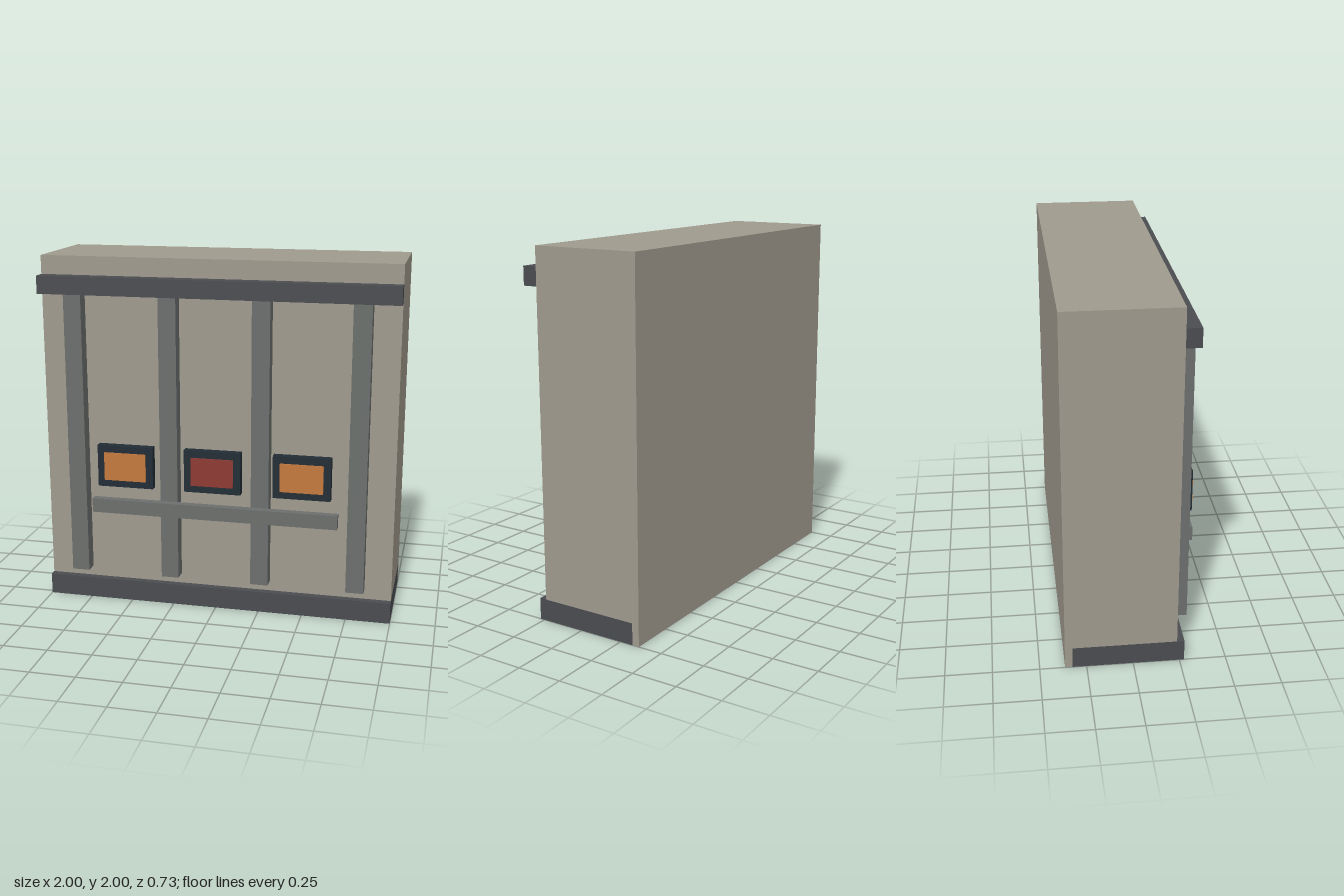
import * as THREE from 'three';

function material(name, color) {
  const m = new THREE.MeshStandardMaterial({ color });
  m.name = name;
  return m;
}

export function createModel() {
  const group = new THREE.Group();
  const stone = material('warm grey wall', 0xa09a8d);
  const dark = material('dark trim', 0x4a4c51);
  const steel = material('grey steel', 0x6b6f6c);
  const casing = material('navy casing', 0x222d36);
  const amber = material('amber screen', 0xc3793e);
  const red = material('red screen', 0x8f3a34);

  // Box given by its extents on each axis
  function box(name, mat, [x0, x1], [y0, y1], [z0, z1]) {
    const mesh = new THREE.Mesh(new THREE.BoxGeometry(x1 - x0, y1 - y0, z1 - z0), mat);
    mesh.position.set((x0 + x1) / 2, (y0 + y1) / 2, (z0 + z1) / 2);
    mesh.name = name;
    group.add(mesh);
  }

  // Wall block, with a thin strip reaching the ground behind the plinth
  box('wall', stone, [-1, 1], [0.12, 2], [-0.365, 0.235]);
  box('wallBackFoot', stone, [-1, 1], [0, 0.12], [-0.365, -0.325]);

  // Plinth and top rail
  box('plinth', dark, [-1, 1], [0, 0.12], [-0.325, 0.275]);
  box('topRail', dark, [-1, 1], [1.795, 1.895], [0.235, 0.315]);

  // Upright ribs
  for (const x of [-0.8, -0.26, 0.26, 0.8]) {
    box('rib', steel, [x - 0.05, x + 0.05], [0.18, 1.8], [0.235, 0.31]);
  }

  // Horizontal bar across the ribs
  box('crossBar', steel, [-0.7, 0.7], [0.56, 0.64], [0.31, 0.355]);

  // Three framed screens
  for (const [x, mat] of [[-0.5, amber], [0, red], [0.5, amber]]) {
    box('screenFrame', casing, [x - 0.16, x + 0.16], [0.72, 0.96], [0.31, 0.355]);
    box('screen', mat, [x - 0.12, x + 0.12], [0.76, 0.92], [0.355, 0.364]);
  }

  return group;
}
